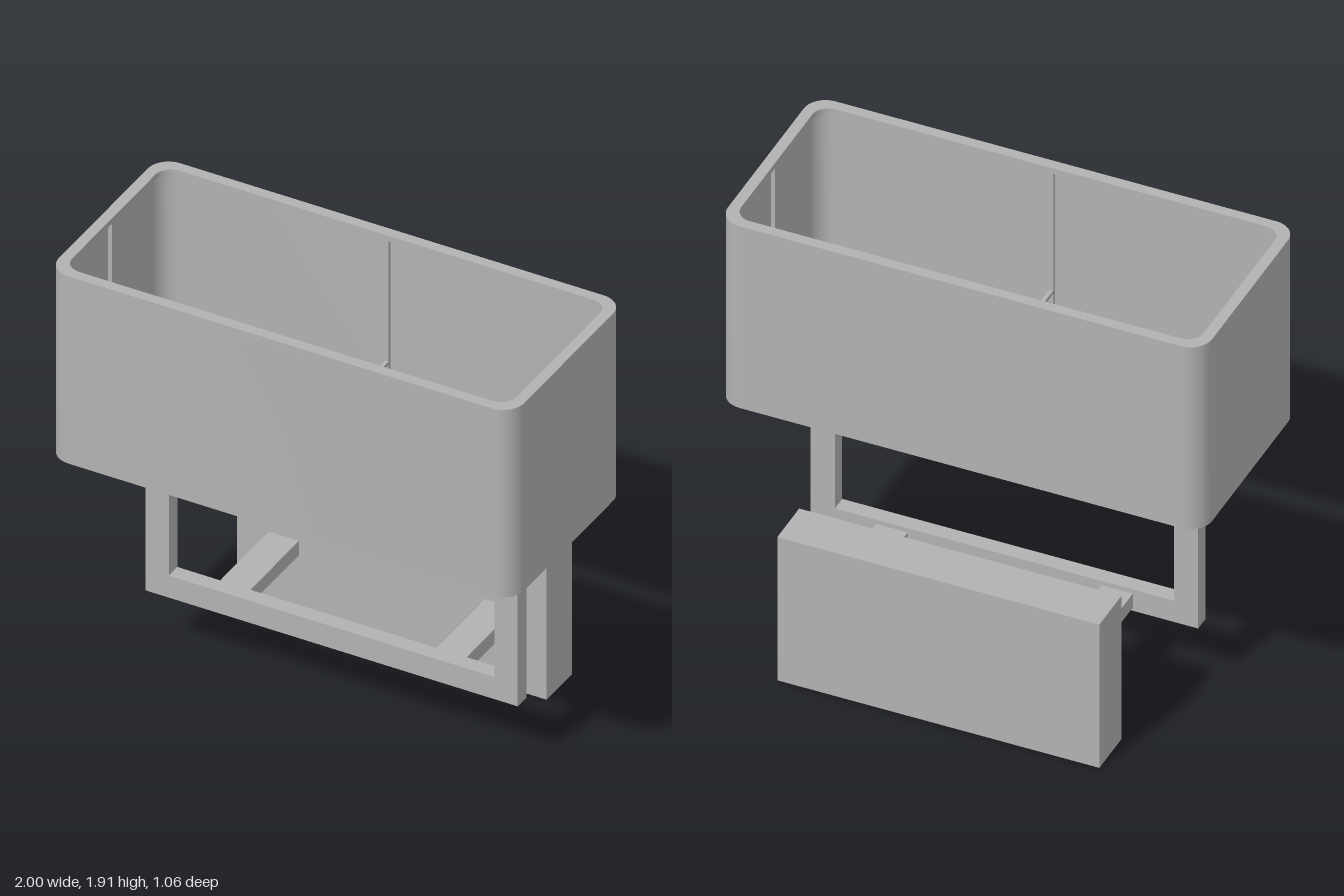
import * as THREE from 'three';
import { toCreasedNormals } from 'three/addons/utils/BufferGeometryUtils.js';

const grey = new THREE.MeshStandardMaterial({ color: 0xb2b2b2 });
grey.name = 'grey';

const SHADE = { halfX: 1, halfZ: 0.433, z: 0.097, bottom: 1.065, top: 1.915, radius: 0.09 };

function add(parent, name, geometry, x = 0, y = 0, z = 0) {
  const mesh = new THREE.Mesh(geometry, grey);
  mesh.name = name;
  mesh.position.set(x, y, z);
  parent.add(mesh);
  return mesh;
}

// Box given by its lower and upper bounds on each axis
function box(parent, name, [x0, x1], [y0, y1], [z0, z1]) {
  return add(parent, name, new THREE.BoxGeometry(x1 - x0, y1 - y0, z1 - z0),
    (x0 + x1) / 2, (y0 + y1) / 2, (z0 + z1) / 2);
}

function roundedRect(target, hx, hy, r) {
  target.moveTo(-hx + r, -hy);
  target.lineTo(hx - r, -hy);
  target.absarc(hx - r, -hy + r, r, -Math.PI / 2, 0);
  target.lineTo(hx, hy - r);
  target.absarc(hx - r, hy - r, r, 0, Math.PI / 2);
  target.lineTo(-hx + r, hy);
  target.absarc(-hx + r, hy - r, r, Math.PI / 2, Math.PI);
  target.lineTo(-hx, -hy + r);
  target.absarc(-hx + r, -hy + r, r, Math.PI, Math.PI * 1.5);
  return target;
}

// Upright rounded rectangular band with the given wall thickness
function band(parent, name, thickness, y0, y1) {
  const { halfX, halfZ, radius, z } = SHADE;
  const shape = roundedRect(new THREE.Shape(), halfX, halfZ, radius);
  shape.holes.push(roundedRect(new THREE.Path(), halfX - thickness, halfZ - thickness, radius - thickness * 0.5));
  const geometry = new THREE.ExtrudeGeometry(shape, { depth: y1 - y0, bevelEnabled: false, curveSegments: 10 });
  geometry.rotateX(-Math.PI / 2);
  add(parent, name, toCreasedNormals(geometry, Math.PI / 6), 0, y0, z);
}

export function createModel() {
  const model = new THREE.Group();
  model.name = 'wallLamp';

  // Wall plate and the two arms reaching forward
  box(model, 'wallPlate', [-0.665, 0.665], [0, 0.67], [-0.533, -0.335]);
  for (const side of [-1, 1]) {
    const arm = box(model, side > 0 ? 'leftArm' : 'rightArm', [0.4, 0.53], [0.305, 0.37], [-0.335, 0.066]);
    arm.position.x *= side;
  }

  // Open rectangular frame
  const outline = new THREE.Shape([[-0.8, 0.29], [0.8, 0.29], [0.8, 0.957], [-0.8, 0.957]]
    .map(p => new THREE.Vector2(...p)));
  outline.holes.push(new THREE.Path([[-0.7, 0.39], [-0.7, 0.86], [0.7, 0.86], [0.7, 0.39]]
    .map(p => new THREE.Vector2(...p))));
  add(model, 'frame', new THREE.ExtrudeGeometry(outline, { depth: 0.066, bevelEnabled: false }), 0, 0, 0.065);

  // Stem and bulb
  box(model, 'stem', [-0.03, 0.03], [0.957, 1.38], [0.067, 0.128]);
  const bulb = add(model, 'bulb', new THREE.SphereGeometry(0.1, 8, 6), 0, 1.46, SHADE.z);
  bulb.rotation.y = 0.15;

  // Shade with an inward lip at each end
  const shade = new THREE.Group();
  shade.name = 'shade';
  model.add(shade);
  band(shade, 'shadeWall', 0.025, SHADE.bottom + 0.025, SHADE.top - 0.025);
  band(shade, 'bottomRim', 0.045, SHADE.bottom, SHADE.bottom + 0.025);
  band(shade, 'topRim', 0.045, SHADE.top - 0.025, SHADE.top);

  // Thin carrier: crossed bars and uprights against the walls
  const t = 0.016, { z } = SHADE, inX = SHADE.halfX - 0.025, inZ = SHADE.halfZ - 0.025;
  const carrier = new THREE.Group();
  carrier.name = 'shadeCarrier';
  model.add(carrier);
  box(carrier, 'longBar', [-inX, inX], [1.325, 1.325 + t], [z - t / 2, z + t / 2]);
  box(carrier, 'shortBar', [-t / 2, t / 2], [1.325, 1.325 + t], [z - inZ, z + inZ]);
  const height = SHADE.top - SHADE.bottom - 0.05, midY = (SHADE.top + SHADE.bottom) / 2;
  for (const s of [-1, 1]) {
    add(carrier, 'sideUpright', new THREE.BoxGeometry(t, height, t), s * (inX - t / 2), midY, z);
    add(carrier, 'wallUpright', new THREE.BoxGeometry(t, height, t), 0, midY, z + s * (inZ - t / 2));
  }
  return model;
}
